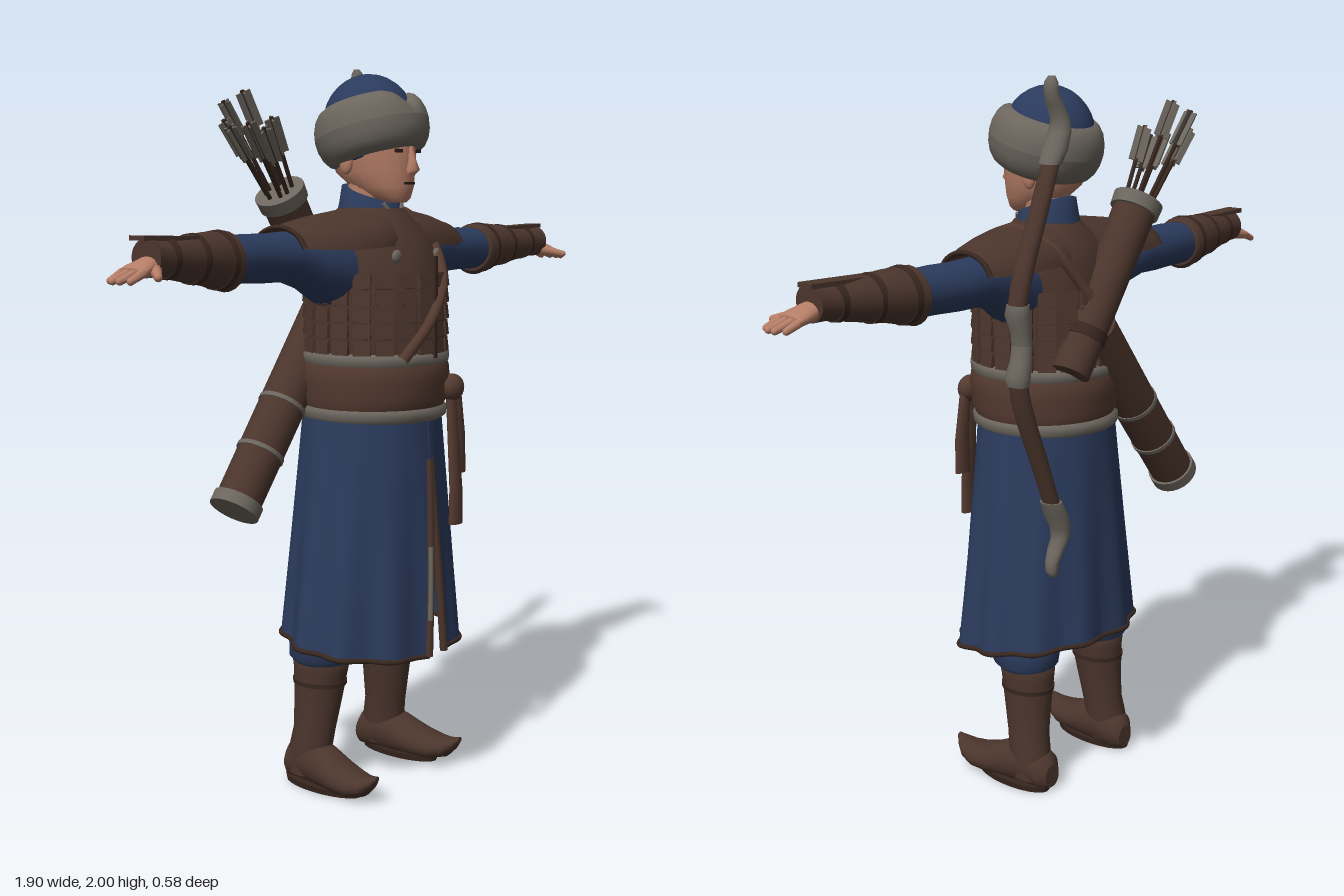
import * as THREE from 'three';
import { mergeGeometries } from 'three/addons/utils/BufferGeometryUtils.js';
import { ParametricGeometry } from 'three/addons/geometries/ParametricGeometry.js';

const V = (x, y, z) => new THREE.Vector3(x, y, z);
const X = 0, Y = 1, Z = 2;

// Skin elliptical rings [pos, ca, cb, ra, rb] along an axis; a and b are the next two axes in x-y-z order
function loft(axis, rings, { n = 24, arc, warp } = {}) {
  const a = (axis + 1) % 3, b = (axis + 2) % 3, pos = [], idx = [], cols = arc ? n + 1 : n;
  rings.forEach(([p, ca, cb, ra, rb], i) => {
    const t = i / (rings.length - 1);
    for (let j = 0; j < cols; j++) {
      const th = arc ? arc(t)[0] + (arc(t)[1] - arc(t)[0]) * j / n : Math.PI * 2 * j / n;
      const v = [0, 0, 0];
      v[axis] = p; v[a] = ca + ra * Math.cos(th); v[b] = cb + rb * Math.sin(th);
      if (warp) warp(v, th, t);
      pos.push(...v);
    }
  });
  for (let i = 0; i < rings.length - 1; i++) for (let j = 0; j < n; j++) {
    const k = (j + 1) % cols, p = i * cols, q = p + cols;
    idx.push(p + j, p + k, q + k, p + j, q + k, q + j);
  }
  if (!arc) [0, rings.length - 1].forEach((i) => {
    const s = pos.length / 3, c = [0, 0, 0], ring = pos.slice(i * n * 3, (i + 1) * n * 3);
    ring.forEach((q, m) => { c[m % 3] += q / n; });
    pos.push(...ring, ...c);
    for (let j = 0; j < n; j++) {
      const k = (j + 1) % n;
      idx.push(s + n, s + (i ? j : k), s + (i ? k : j));
    }
  });
  const g = new THREE.BufferGeometry();
  g.setAttribute('position', new THREE.Float32BufferAttribute(pos, 3));
  g.setIndex(idx);
  g.computeVertexNormals();
  return g;
}

// Tapered round bar from p to q
function rod(p, q, r0, r1 = r0, n = 16) {
  const d = q.clone().sub(p), g = new THREE.CylinderGeometry(r1, r0, d.length(), n);
  g.applyQuaternion(new THREE.Quaternion().setFromUnitVectors(V(0, 1, 0), d.normalize()));
  const m = p.clone().add(q).multiplyScalar(0.5);
  return g.translate(m.x, m.y, m.z);
}
const ball = (x, y, z, rx, ry = rx, rz = rx) => new THREE.SphereGeometry(1, 24, 16).scale(rx, ry, rz).translate(x, y, z);
const box = (w, h, d, x, y, z, rz = 0) => new THREE.BoxGeometry(w, h, d).rotateZ(rz).translate(x, y, z);
const tube = (pts, r, n = 40) => new THREE.TubeGeometry(new THREE.CatmullRomCurve3(pts), n, r, 8);

function mirrored(g) {
  const m = g.clone().scale(-1, 1, 1), ix = m.index.array;
  for (let i = 0; i < ix.length; i += 3) [ix[i], ix[i + 1]] = [ix[i + 1], ix[i]];
  m.computeVertexNormals();
  return m;
}

export function createModel() {
  const model = new THREE.Group();
  const mat = (name, color) => Object.assign(new THREE.MeshStandardMaterial({ color }), { name });
  const blue = mat('blue cloth', 0x2b3b5d), brown = mat('brown leather', 0x4b352c);
  const sash = mat('sash brown', 0x543a30), dark = mat('dark leather', 0x38271f);
  const fur = mat('grey fur', 0x6c665e), skin = mat('skin', 0xb57d66), black = mat('dark features', 0x2a1c18);
  [blue, brown].forEach((m) => { m.side = THREE.DoubleSide; });
  const add = (name, g, m) => {
    const o = new THREE.Mesh(g, m);
    o.name = name;
    model.add(o);
    return o;
  };
  const pair = (name, g, m) => { add(name + 'Left', g, m); add(name + 'Right', mirrored(g), m); };

  // Head and face
  add('head', loft(Y, [[1.61, .13, 0, .03, .025], [1.622, .115, 0, .055, .045], [1.65, .085, 0, .092, .066],
    [1.69, .06, 0, .12, .08], [1.74, .053, 0, .128, .088], [1.8, .05, 0, .13, .092], [1.85, .05, 0, .11, .08]]), skin);
  add('neck', rod(V(0, 1.54, .03), V(0, 1.69, .05), .066, .06), skin);
  add('nose', loft(Y, [[1.683, .178, 0, .012, .014], [1.695, .184, 0, .021, .018], [1.72, .181, 0, .014, .011],
    [1.76, .175, 0, .008, .008]], { n: 12 }), skin);
  add('mouth', box(.042, .006, .008, 0, 1.66, .174), black);
  pair('ear', ball(.088, 1.715, .03, .013, .032, .02), skin);
  pair('eye', box(.026, .009, .008, .034, 1.745, .171).rotateY(.04), black);
  pair('eyebrow', box(.036, .007, .008, .036, 1.765, .17, .12), black);

  // Domed hat with a tilted fur brim, notched at the front
  add('hatCrown', ball(0, 0, 0, .12, .135, .13).rotateX(-.2).translate(0, 1.815, .04), blue);
  const brim = new THREE.TorusGeometry(.105, .046, 18, 48).rotateX(Math.PI / 2);
  const bp = brim.attributes.position;
  for (let i = 0; i < bp.count; i++) {
    const x = bp.getX(i), y = bp.getY(i), z = bp.getZ(i);
    const notch = y > 0 && z > 0 ? Math.exp(-((x / .03) ** 2)) * .55 : 0;
    bp.setXYZ(i, x, y * 1.7 * (1 - notch), z * 1.06);
  }
  brim.computeVertexNormals();
  add('hatBrim', brim.rotateX(-.27).translate(0, 1.8, .048), fur);

  // Collar and vest
  const drop = (v, th) => { v[1] -= .025 * Math.cos(th); };
  add('collar', loft(Y, [[1.53, .045, 0, .1, .1], [1.59, .045, 0, .088, .083], [1.635, .045, 0, .082, .074],
    [1.637, .045, 0, .07, .064]], { warp: drop }), blue);
  pair('collarTrim', rod(V(.003, 1.55, .143), V(.04, 1.608, .118), .007, .006, 8), fur);
  add('vest', loft(Y, [[1.18, .06, 0, .185, .185], [1.25, .065, 0, .19, .19], [1.33, .065, 0, .188, .192],
    [1.42, .06, 0, .178, .19], [1.49, .05, 0, .158, .19], [1.54, .045, 0, .132, .165], [1.58, .045, 0, .1, .105],
    [1.595, .045, 0, .09, .088]], { n: 40 }), brown);
  const plates = [];
  for (let r = 0; r < 5; r++) for (let c = 0; c < 20; c++) {
    const th = (c + .5) / 20 * Math.PI * 2;
    plates.push(new THREE.BoxGeometry(.047, .038, .014).rotateX(-.12).translate(0, 0, .19).rotateY(th)
      .translate(0, 1.23 + r * .044, .062));
  }
  add('vestPlates', mergeGeometries(plates), brown);
  add('vestClosure', box(.012, .27, .008, 0, 1.335, .262), dark);
  pair('vestStud', ball(.09, 1.47, .202, .018, .018, .01), fur);
  add('chestStrap', tube([V(.15, 1.55, .1), V(.11, 1.5, .175), V(.05, 1.4, .25), V(-.03, 1.3, .268),
    V(-.11, 1.2, .238)], .015), sash);
  add('backStrap', tube([V(.15, 1.55, .1), V(.14, 1.585, .04), V(.11, 1.54, -.07), V(.02, 1.4, -.13)], .015), sash);

  // Shoulder capes
  const cape = loft(X, [[.06, 1.5, .045, .1, .14], [.13, 1.49, .045, .1, .15], [.22, 1.475, .035, .103, .135],
    [.29, 1.47, .025, .094, .115], [.345, 1.47, .015, .078, .095]],
  { arc: (t) => [-1.6 + .35 * t, 1.6 - .35 * t], n: 20 });
  pair('shoulderCape', cape, brown);
  pair('shoulderCapeEdge', tube([-1.25, -.8, -.4, 0, .4, .8, 1.25].map((a) =>
    V(.345, 1.47 + .078 * Math.cos(a), .015 + .095 * Math.sin(a))), .007), dark);

  // Sleeves, bracers and hands
  pair('sleeve', loft(X, [[.1, 1.43, .04, .09, .1], [.19, 1.44, .035, .1, .1], [.25, 1.458, .02, .077, .085],
    [.32, 1.472, .005, .065, .076], [.4, 1.47, .003, .063, .07], [.47, 1.472, .005, .062, .07],
    [.56, 1.47, .01, .06, .065]]), blue);
  pair('bracer', loft(X, [[.535, 1.468, .01, .066, .07], [.545, 1.468, .01, .076, .078], [.62, 1.476, .014, .066, .07],
    [.72, 1.48, .025, .053, .058], [.8, 1.484, .036, .043, .047], [.835, 1.486, .04, .046, .049]]), brown);
  for (const [x, y, z, r] of [[.575, 1.472, .012, .075], [.67, 1.478, .02, .063], [.77, 1.483, .032, .051]])
    pair('bracerBand', loft(X, [[x - .009, y, z, r, r + .003], [x + .009, y, z, r - .002, r + .001]]), dark);
  pair('bracerGuard', box(.19, .012, .05, .76, 1.53, .03, .03), brown);
  pair('palm', loft(X, [[.81, 1.472, .04, .024, .03], [.84, 1.466, .043, .024, .036], [.875, 1.458, .045, .019, .046],
    [.895, 1.453, .045, .014, .044]], { n: 16 }), skin);
  [[.012, .925], [.035, .94], [.058, .94], [.081, .928]].forEach(([z, x]) => {
    pair('finger', mergeGeometries([rod(V(.885, 1.455, z), V(x, 1.438, z + .004), .011, .009, 10),
      ball(x, 1.438, z + .004, .009)]), skin);
  });
  pair('thumb', mergeGeometries([rod(V(.835, 1.46, .07), V(.878, 1.446, .122), .015, .01, 10),
    ball(.878, 1.446, .122, .01)]), skin);

  // Flared coat skirt with folds and a front slit
  const skirtPoint = (u, t, out = V(0, 0, 0)) => {
    const gap = .012 + .16 * Math.max(0, t - .25), th = gap + u * (Math.PI * 2 - 2 * gap);
    const f = 1 + .035 * t * Math.cos(11 * th) + .012 * t * Math.cos(5 * th + 1);
    return out.set((.192 + .083 * t) * f * Math.sin(th), 1.06 - (.645 + .025 * Math.cos(th)) * t,
      .05 + (.188 + .037 * t) * f * Math.cos(th));
  };
  add('skirt', new ParametricGeometry((u, v, p) => skirtPoint(u, 1 - v, p), 132, 14), blue);
  add('skirtHem', tube(Array.from({ length: 100 }, (_, i) => skirtPoint(i / 99, 1)), .007, 200), dark);
  for (const u of [0, 1])
    add('slitTrim', tube([.2, .4, .6, .8, 1].map((t) => skirtPoint(u, t)), .011), brown);
  add('slitFurTrim', tube([.55, .7, .85].map((t) => skirtPoint(1, t).add(V(-.008, 0, .008))), .007), fur);

  // Sash, fur edges, knot and hanging ends
  add('sash', loft(Y, [[1.06, .055, 0, .19, .194], [1.09, .057, 0, .203, .204], [1.125, .058, 0, .2, .201],
    [1.14, .058, 0, .207, .207], [1.175, .06, 0, .202, .202], [1.195, .06, 0, .192, .192]], { n: 40 }), sash);
  for (const [y, z] of [[1.05, .053], [1.197, .06]])
    add('sashFurEdge', loft(Y, [[y - .022, z, 0, .19, .19], [y - .012, z, 0, .202, .202], [y + .01, z, 0, .203, .203],
      [y + .018, z, 0, .188, .19]], { n: 40 }), fur);
  add('sashKnot', ball(.105, 1.11, .245, .04, .038, .03), sash);
  for (const [x, y0, x1, z1] of [[.1, .735, .095, .268], [.125, .87, .14, .245]])
    add('sashEnd', loft(Y, [[y0, z1, x1, .014, .027], [y0 + .1, z1, x1, .013, .025],
      [1.1, .245, x, .012, .018]], { n: 12 }), sash);

  // Trousers and boots with upturned toes
  pair('trouserLeg', loft(Y, [[.345, -.01, .15, .07, .065], [.37, -.005, .15, .095, .088], [.42, 0, .145, .105, .095],
    [.6, .03, .11, .1, .085]]), blue);
  pair('bootShaft', loft(Y, [[.03, -.04, .17, .06, .05], [.1, -.035, .168, .064, .054], [.16, -.025, .162, .062, .054],
    [.24, -.018, .156, .07, .06], [.33, -.012, .15, .08, .068], [.362, -.01, .15, .084, .074],
    [.364, -.01, .15, .07, .06]]), brown);
  pair('bootBand', loft(Y, [[.29, -.014, .152, .079, .068], [.302, -.014, .152, .08, .069]]), dark);
  pair('bootFoot', loft(Z, [[-.115, .163, .045, .028, .034], [-.095, .164, .056, .048, .055], [-.03, .168, .07, .056, .07],
    [.03, .174, .06, .058, .06], [.09, .182, .046, .062, .044], [.14, .188, .04, .056, .036], [.18, .192, .045, .041, .028],
    [.205, .194, .06, .024, .018], [.222, .195, .075, .008, .007]],
  { warp: (v) => { v[1] = Math.max(v[1], .012); } }), brown);
  pair('bootSole', loft(Y, [[0, .02, .176, .128, .052], [.018, .02, .176, .132, .056]]), dark);

  // Arrow quiver across the back
  const q0 = V(.1, 1.21, -.125), q1 = V(-.19, 1.63, -.112), dir = q1.clone().sub(q0).normalize();
  const at = (p, d, k) => p.clone().addScaledVector(d, k);
  add('quiver', rod(q0, q1, .053, .06, 24), brown);
  add('quiverRim', rod(at(q1, dir, -.025), at(q1, dir, .012), .068, .07, 24), fur);
  add('quiverBand', rod(at(q0, dir, .1), at(q0, dir, .13), .058, .059, 24), dark);
  const side = V(dir.y, -dir.x, 0);
  for (let i = 0; i < 8; i++) {
    const a = i * 2.4, r = i ? .035 : 0, off = side.clone().multiplyScalar(r * Math.cos(a)).add(V(0, 0, r * Math.sin(a)));
    const s = q1.clone().add(off), d = dir.clone().addScaledVector(off, 3).normalize(), len = .22 + .035 * (i % 3);
    add('arrowShaft', rod(at(s, d, -.05), at(s, d, len), .006, .006, 6), dark);
    const vanes = mergeGeometries([0, Math.PI / 2].map((w) => new THREE.BoxGeometry(.04, .1, .005).rotateY(w + a)));
    vanes.applyQuaternion(new THREE.Quaternion().setFromUnitVectors(V(0, 1, 0), d));
    const c = at(s, d, len - .055);
    add('arrowFletching', vanes.translate(c.x, c.y, c.z), fur);
  }

  // Long bow case slung to the right hip
  const c0 = V(-.405, .815, -.09), c1 = V(-.02, 1.31, -.1), cd = c1.clone().sub(c0).normalize();
  add('bowCase', rod(c0, c1, .062, .066, 24), brown);
  add('bowCaseEnd', rod(at(c0, cd, -.012), at(c0, cd, .022), .069, .069, 24), fur);
  for (const k of [.16, .31]) add('bowCaseBand', rod(at(c0, cd, k), at(c0, cd, k + .012), .067, .067, 24), fur);

  // Recurve bow: grip, two limbs and two tips, as [height from centre, x, thickness]
  const bow = (name, half, m) => {
    const up = half.map(([h, x, r]) => [1.365 + h, -.26, x, r + .004, r]);
    add(name + 'Upper', loft(Y, up, { n: 14 }), m);
    add(name + 'Lower', loft(Y, up.map(([y, ...s]) => [2.73 - y, ...s]).reverse(), { n: 14 }), m);
  };
  bow('bowGrip', [[0, .432, .024], [.04, .436, .025], [.075, .447, .03], [.1, .445, .026]], fur);
  bow('bowLimb', [[.095, .446, .022], [.14, .437, .023], [.2, .417, .023], [.31, .372, .022], [.44, .322, .02]], brown);
  bow('bowTip', [[.425, .328, .026], [.46, .311, .03], [.5, .293, .026], [.53, .293, .022], [.56, .31, .02],
    [.59, .324, .016], [.615, .325, .015], [.63, .322, .006]], fur);
  return model;
}
